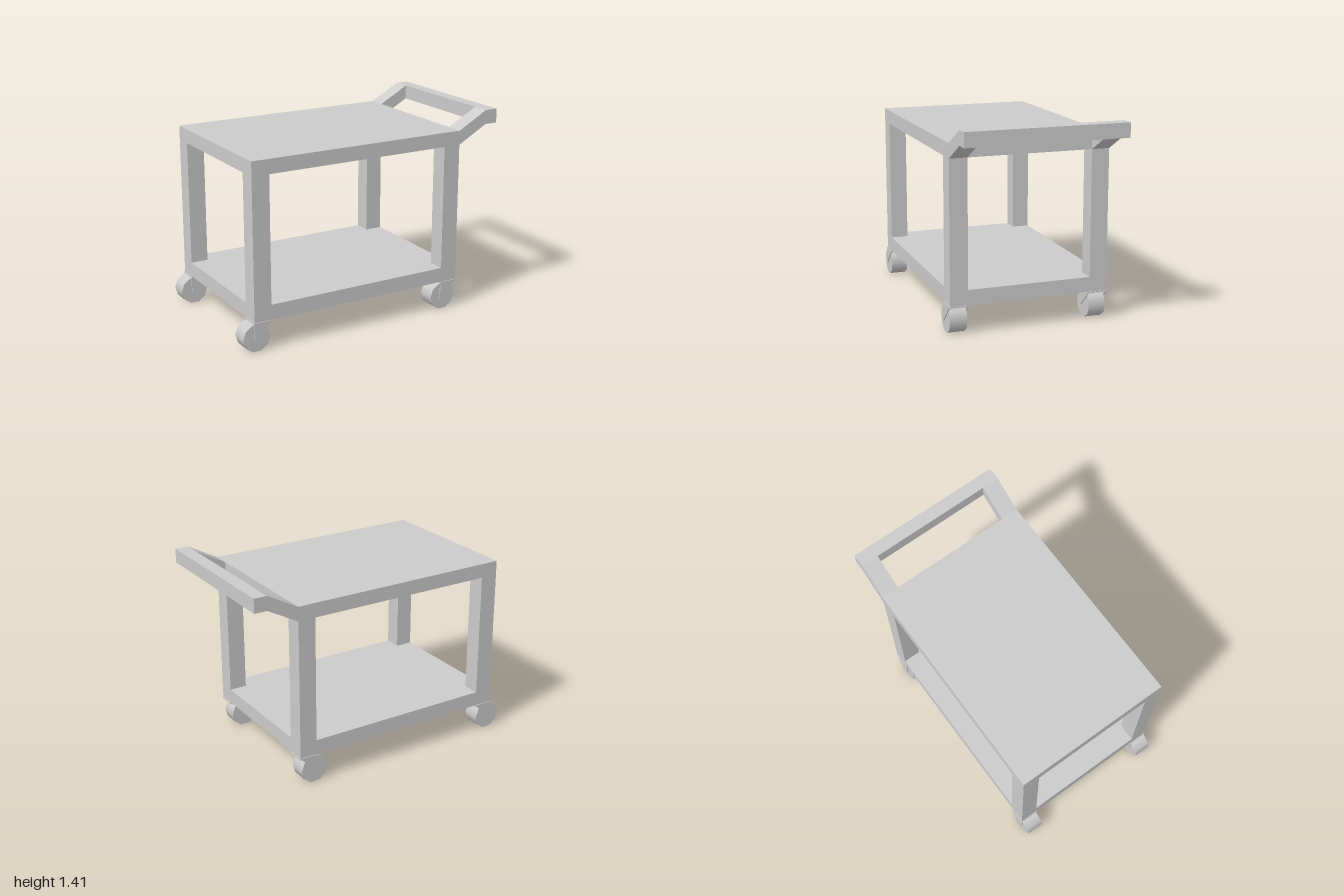
import * as THREE from 'three';

const material = new THREE.MeshStandardMaterial({ color: 0xcccccc });

// Box given by its minimum and maximum corners
function box(parent, name, [x0, y0, z0], [x1, y1, z1]) {
  const geo = new THREE.BoxGeometry(x1 - x0, y1 - y0, z1 - z0);
  const mesh = new THREE.Mesh(geo, material);
  mesh.position.set((x0 + x1) / 2, (y0 + y1) / 2, (z0 + z1) / 2);
  mesh.name = name;
  parent.add(mesh);
}

// Side outline extruded along z, starting at z0
function plate(parent, name, points, z0, depth) {
  const shape = new THREE.Shape(points.map(([x, y]) => new THREE.Vector2(x, y)));
  const geo = new THREE.ExtrudeGeometry(shape, { depth, bevelEnabled: false });
  const mesh = new THREE.Mesh(geo, material);
  mesh.position.z = z0;
  mesh.name = name;
  parent.add(mesh);
}

// Caster whose bracket's outer edge is at x = 0, centred on z = 0
function createCaster() {
  const caster = new THREE.Group();
  caster.name = 'caster';
  const w = 0.135, half = 0.068, thick = 0.007;
  box(caster, 'casterTopPlate', [0, 0.192, -half], [w, 0.202, half]);
  for (const z of [-half, half - thick]) {
    plate(caster, 'casterFork', [[0, 0.202], [0, 0.075], [w, 0.202]], z, thick);
  }
  const geo = new THREE.CylinderGeometry(0.099, 0.099, 0.12, 10, 1, false, Math.PI / 2);
  geo.rotateX(Math.PI / 2);
  const wheel = new THREE.Mesh(geo, material);
  wheel.name = 'wheel';
  wheel.position.set(0.021, 0.094, 0);
  caster.add(wheel);
  return caster;
}

export function createModel() {
  const cart = new THREE.Group();
  cart.name = 'serviceCart';
  const left = -0.918, right = 0.685, depth = 0.56, post = 0.125;

  // Shelves
  box(cart, 'bottomShelf', [left, 0.202, -depth], [right, 0.307, depth]);
  box(cart, 'topShelf', [left, 1.19, -depth], [right, 1.29, depth]);

  // Corner posts, casters and handle arms on both sides
  const armProfile = [[right, 1.19], [0.905, 1.31], [0.998, 1.31], [0.998, 1.41], [0.905, 1.41], [right, 1.29]];
  for (const z of [-depth, depth - post]) {
    for (const x of [left, right - post]) {
      box(cart, 'cornerPost', [x, 0.307, z], [x + post, 1.19, z + post]);
      const caster = createCaster();
      caster.position.set(x - 0.005, 0, z + post / 2);
      cart.add(caster);
    }
    plate(cart, 'handleArm', armProfile, z, post);
  }

  // Push bar joining the arms
  box(cart, 'handleBar', [0.905, 1.31, post - depth], [0.998, 1.41, depth - post]);
  return cart;
}
